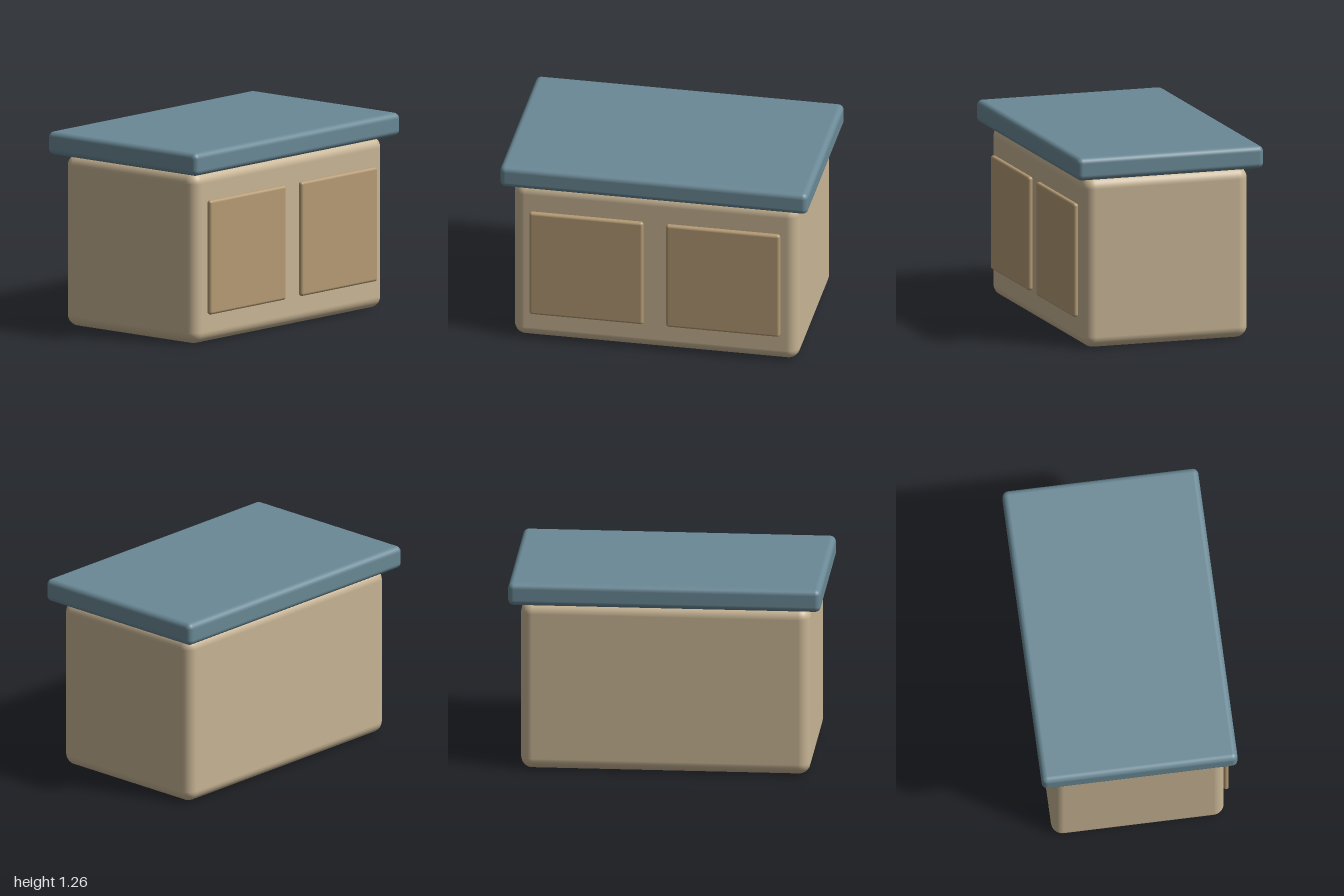
import * as THREE from 'three';
import { RoundedBoxGeometry } from 'three/addons/geometries/RoundedBoxGeometry.js';

export function createModel() {
  const model = new THREE.Group();
  model.name = 'cabinet';

  const material = (color) => new THREE.MeshStandardMaterial({ color });
  const bodyMaterial = material(0xc8b595);
  const doorMaterial = material(0xb59b74);
  const topMaterial = material(0x6a8996);

  // Rounded block given by its size, corner radius and centre
  function addBlock(name, [w, h, d], radius, [x, y, z], mat) {
    const mesh = new THREE.Mesh(new RoundedBoxGeometry(w, h, d, 5, radius), mat);
    mesh.name = name;
    mesh.position.set(x, y, z);
    model.add(mesh);
  }

  // Cabinet body, with the worktop resting on it and overhanging all round
  addBlock('body', [1.852, 1.111, 1.111], 0.074, [0, 0.5555, 0], bodyMaterial);
  addBlock('worktop', [2, 0.148, 1.259], 0.037, [0, 1.185, 0], topMaterial);

  // Pair of thin door panels on the front
  for (const side of [-1, 1]) {
    const name = side > 0 ? 'leftDoor' : 'rightDoor';
    addBlock(name, [0.741, 0.741, 0.037], 0.0185, [side * 0.444, 0.558, 0.577], doorMaterial);
  }

  return model;
}
